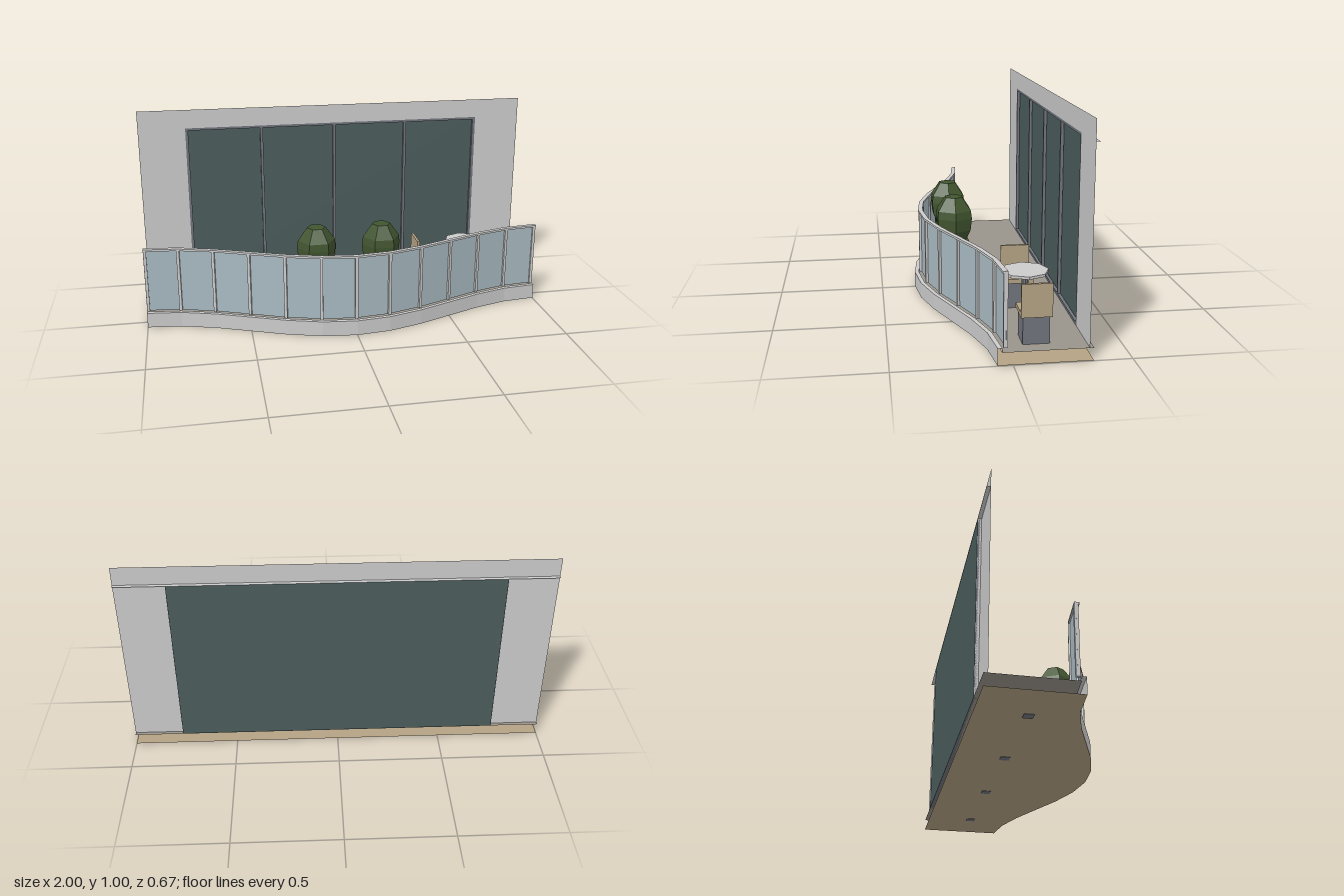
import * as THREE from 'three';

const mat = (name, color, both = true) => {
  const m = new THREE.MeshStandardMaterial({ color });
  m.name = name;
  m.flatShading = true;
  if (both) m.side = THREE.DoubleSide;
  return m;
};

export function createModel() {
  const model = new THREE.Group();
  model.name = 'balcony';
  const plaster = mat('plaster', 0xcbcbcb);
  const floorGrey = mat('floor grey', 0x98938a);
  const tan = mat('tan', 0xb4a284);
  const paleGlass = mat('pale glass', 0xa8bac1);
  const darkGlass = mat('dark glass', 0x4b5c5c);
  const frameGrey = mat('frame grey', 0x70747c);
  const green = mat('leaf green', 0x41552f);

  const add = (name, geo, material, x = 0, y = 0, z = 0, parent = model) => {
    const mesh = new THREE.Mesh(geo, material);
    mesh.name = name;
    mesh.position.set(x, y, z);
    parent.add(mesh);
    return mesh;
  };
  // Box given by its lower and upper limits
  const box = (name, material, x0, x1, y0, y1, z0, z1, parent) =>
    add(name, new THREE.BoxGeometry(x1 - x0, y1 - y0, z1 - z0), material,
      (x0 + x1) / 2, (y0 + y1) / 2, (z0 + z1) / 2, parent);

  // Wavy front edge, drawn in twelve straight segments
  const N = 12;
  const BACK = -0.335, WALL = -0.317, FLOOR = 0.055, CURB = 0.075;
  const edge = (mid, x) => mid + 0.135 * Math.cos(Math.PI * x);
  const edgePoints = (mid) => Array.from({ length: N + 1 }, (_, i) => {
    const x = -1 + (2 * i) / N;
    return new THREE.Vector2(x, -edge(mid, x));
  });
  // Flat outline between a front curve and either a back curve or the back line
  const outline = (front, back) => new THREE.Shape([
    ...edgePoints(front),
    ...(back === undefined
      ? [new THREE.Vector2(1, -BACK), new THREE.Vector2(-1, -BACK)]
      : edgePoints(back).reverse()),
  ]);
  const sheet = (name, material, y, front, back) =>
    add(name, new THREE.ShapeGeometry(outline(front, back)).rotateX(-Math.PI / 2), material, 0, y);
  // Upright face following the curve
  const curtain = (name, material, mid, y0, y1) => {
    const geo = new THREE.PlaneGeometry(2, y1 - y0, N, 1);
    const p = geo.attributes.position;
    for (let i = 0; i < p.count; i++) p.setZ(i, edge(mid, p.getX(i)));
    const flat = geo.toNonIndexed();
    flat.computeVertexNormals();
    return add(name, flat, material, 0, (y0 + y1) / 2);
  };

  // Slab: open at the back and sides
  sheet('soffit', tan, 0, 0.2);
  sheet('floor', floorGrey, FLOOR, 0.18);
  curtain('fascia', plaster, 0.2, 0, CURB);
  curtain('curbInside', plaster, 0.18, FLOOR, CURB);
  sheet('curbTop', plaster, CURB, 0.2, 0.18);
  for (const x of [-0.75, -0.25, 0.25, 0.75])
    box('soffitLight', frameGrey, x - 0.022, x + 0.022, -0.002, 0.002, -0.132, -0.088);

  // Railing: glass, posts and handrail
  curtain('railingGlass', paleGlass, 0.165, CURB, 0.39);
  for (let i = 0; i <= N; i++) {
    const x = -1 + (2 * i) / N;
    const px = THREE.MathUtils.clamp(x, -0.992, 0.992);
    const post = box('railingPost', plaster, px - 0.007, px + 0.007, CURB, 0.39, -0.009, 0.009);
    post.position.z = edge(0.167, x);
    post.rotation.y = Math.atan(0.135 * Math.PI * Math.sin(Math.PI * x));
  }
  const rail = new THREE.ExtrudeGeometry(outline(0.18, 0.158), { depth: 0.01, bevelEnabled: false });
  add('handrail', rail.rotateX(-Math.PI / 2), plaster, 0, 0.39);

  // Rear wall with a wide opening, its reveals and the ledge behind it
  const W = 0.765;
  const wall = new THREE.Shape([[-1, FLOOR], [-W, FLOOR], [-W, 0.905], [W, 0.905], [W, FLOOR],
    [1, FLOOR], [1, 1], [-1, 1]].map(([x, y]) => new THREE.Vector2(x, y)));
  add('rearWall', new THREE.ShapeGeometry(wall), plaster, 0, 0, WALL);
  for (const s of [-1, 1]) {
    const reveal = new THREE.PlaneGeometry(WALL - BACK, 0.91 - FLOOR).rotateY(Math.PI / 2);
    add('reveal', reveal, plaster, s * W, (0.91 + FLOOR) / 2, (WALL + BACK) / 2);
  }
  add('ledge', new THREE.PlaneGeometry(2, WALL - BACK).rotateX(-Math.PI / 2), plaster,
    0, 0.91, (WALL + BACK) / 2);

  // Sliding windows
  add('windowGlass', new THREE.PlaneGeometry(2 * W, 0.91 - FLOOR), darkGlass,
    0, (0.91 + FLOOR) / 2, BACK + 0.001);
  for (let i = 0; i < 5; i++) {
    const x = (i - 2) * 0.379;
    box('mullion', frameGrey, x - 0.007, x + 0.007, FLOOR, 0.905, BACK + 0.003, WALL);
  }
  box('windowHead', frameGrey, -W, W, 0.893, 0.905, BACK + 0.003, WALL);
  box('windowSill', frameGrey, -W, W, FLOOR, 0.067, BACK + 0.003, WALL);

  // Two chairs facing each other across the table
  for (const s of [-1, 1]) {
    const chair = new THREE.Group();
    chair.name = 'chair';
    chair.position.set(0.665 + s * 0.21, 0, -0.107);
    chair.rotation.y = s > 0 ? 0 : Math.PI;
    model.add(chair);
    box('chairBase', frameGrey, -0.055, 0.055, FLOOR, 0.175, -0.057, 0.057, chair);
    box('chairSeat', tan, -0.066, 0.066, 0.175, 0.195, -0.066, 0.066, chair);
    box('chairBack', tan, 0.053, 0.066, 0.195, 0.32, -0.066, 0.066, chair);
  }
  add('tableTop', new THREE.CylinderGeometry(0.105, 0.105, 0.012, 8), plaster, 0.665, 0.284, -0.107);
  add('tableLeg', new THREE.CylinderGeometry(0.015, 0.015, 0.223, 8), frameGrey, 0.665, 0.1665, -0.107);

  // Planter with two faceted shrubs
  box('planter', green, -0.268, 0.265, FLOOR, 0.29, 0.083, 0.208);
  const profile = [[0, 0.285], [0.06, 0.285], [0.088, 0.34], [0.095, 0.4], [0.09, 0.437],
    [0.045, 0.5], [0, 0.5]].map(([r, y]) => new THREE.Vector2(r, y));
  for (const x of [-0.17, 0.15])
    add('shrub', new THREE.LatheGeometry(profile, 6, Math.PI / 6 + Math.PI / 3), green, x, 0, 0.15);

  return model;
}
